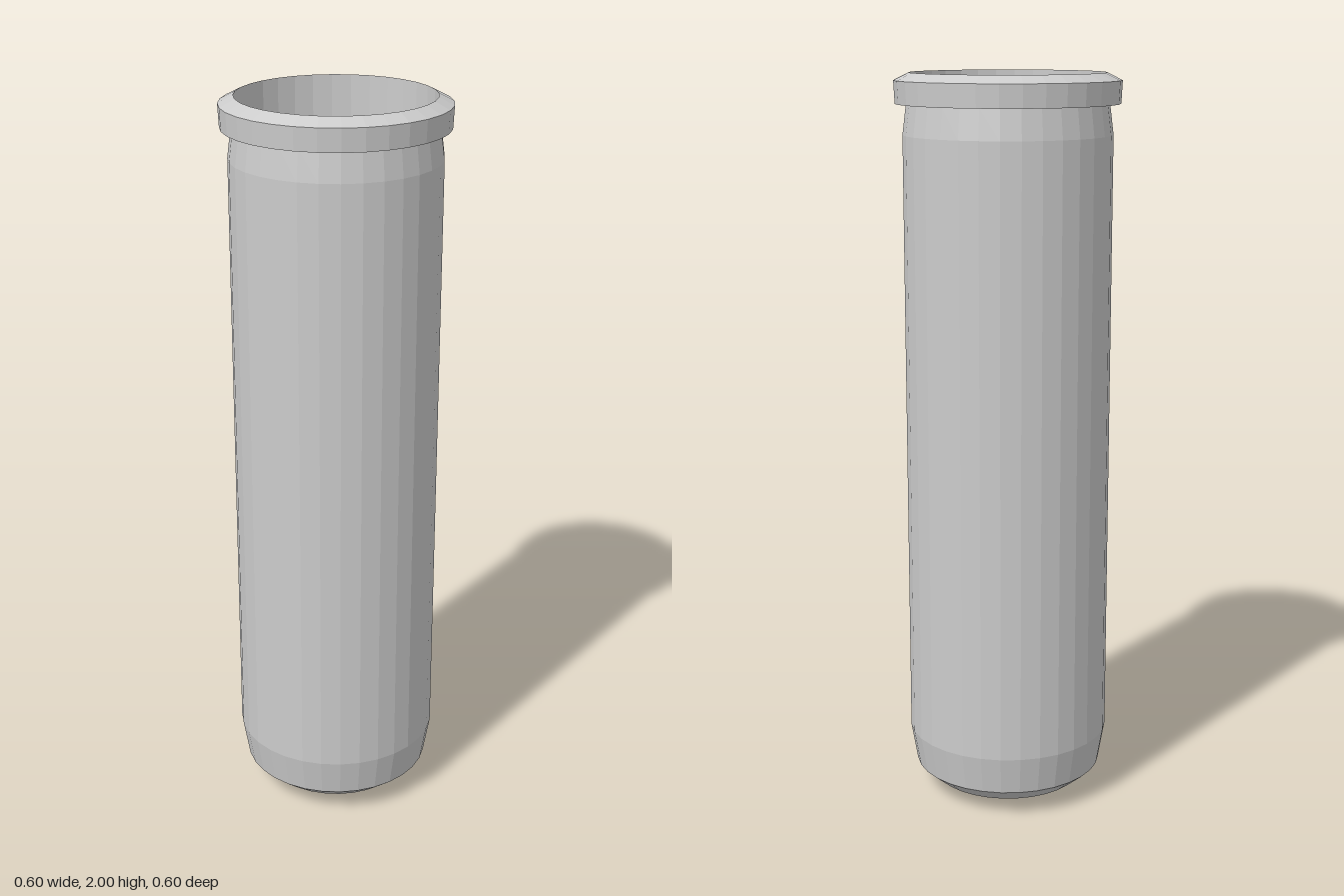
import * as THREE from 'three';

const SIDES = 32;

// Revolves a [radius, height] profile; profiles run up the outside and down the inside.
function turned(name, profile) {
  const points = profile.map(([r, y]) => new THREE.Vector2(r, y));
  const material = new THREE.MeshStandardMaterial({ color: 0xcccccc, flatShading: true, side: THREE.DoubleSide });
  const mesh = new THREE.Mesh(new THREE.LatheGeometry(points, SIDES), material);
  mesh.name = name;
  return mesh;
}

export function createModel() {
  const group = new THREE.Group();
  group.name = 'openTube';

  // Outer wall: flat base, rounded foot, straight side and slight neck
  group.add(turned('outerWall', [
    [0, 0], [0.135, 0.005], [0.21, 0.033], [0.26, 0.075],
    [0.278, 0.18], [0.278, 1.84], [0.268, 1.92],
  ]));

  // Projecting lip with a sloped top
  group.add(turned('lip', [[0.268, 1.92], [0.297, 1.92], [0.3, 1.98], [0.26, 2]]));

  // Hollow interior with a rounded floor
  group.add(turned('innerWall', [
    [0.26, 2], [0.258, 0.19], [0.222, 0.1], [0.183, 0.06], [0.138, 0.035], [0, 0.03],
  ]));

  return group;
}
